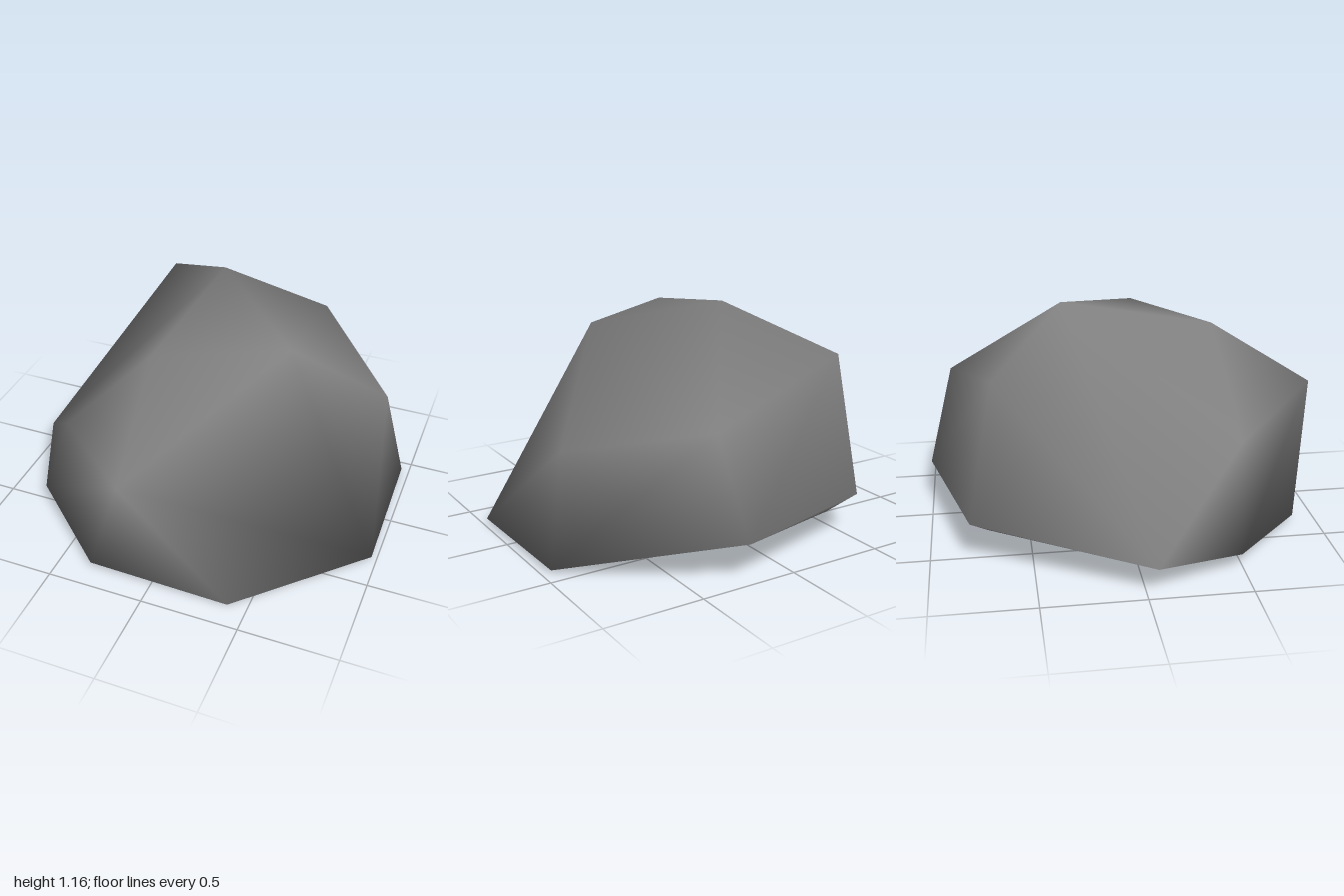
import * as THREE from 'three';
import { ConvexGeometry } from 'three/addons/geometries/ConvexGeometry.js';

// Corners of the boulder, from the foot to the peak
const corners = {
  footFront: [0.40, 0.00, 0.87], footLeftFront: [0.975, 0.02, 0.32],
  footLeftBack: [0.96, 0.02, -0.42], footMiddle: [-0.33, 0.03, 0.88],
  footRight: [-0.79, 0.08, 0.49], footTip: [-0.98, 0.14, 0.05],
  footBack: [-0.43, 0.11, -0.71], heelRight: [-0.55, 0.21, -0.80],
  heelLeft: [0.25, 0.20, -1.00], sideLeft: [0.85, 0.55, -0.33],
  sideRight: [-0.60, 0.58, 0.52], nose: [-0.09, 0.69, 1.00],
  back: [0.35, 0.70, -0.87], shoulder: [-0.50, 0.91, -0.67],
  topLeft: [0.44, 1.03, 0.13], topFront: [-0.15, 1.05, 0.45], peak: [-0.06, 1.16, -0.30],
};
const names = Object.keys(corners);
const points = Object.values(corners).map((p) => new THREE.Vector3(...p));

// Areas laid out again as fans: a hub corner followed by its rim
const regions = [
  // shallow dent below the peak
  [['peak', 'shoulder', 'footTip', 'sideRight', 'topFront']],
  // underside
  [
    ['footLeftFront', 'footFront', 'footMiddle', 'footRight', 'footBack', 'footLeftBack'],
    ['footRight', 'footTip', 'footBack'],
  ],
];

// Convex hull as triples of corner numbers
function hullFaces() {
  const { position } = new ConvexGeometry(points).attributes;
  const faces = [];
  const vertex = new THREE.Vector3();
  for (let i = 0; i < position.count; i++) {
    if (i % 3 === 0) faces.push([]);
    vertex.fromBufferAttribute(position, i);
    faces.at(-1).push(points.findIndex((p) => p.distanceTo(vertex) < 1e-4));
  }
  return faces;
}

// Replace the hull faces inside a region with its fans
function refan(faces, fans) {
  const inside = new Set(fans.flat().map((name) => names.indexOf(name)));
  const kept = faces.filter((face) => !face.every((i) => inside.has(i)));
  for (const fan of fans) {
    const [hub, ...rim] = fan.map((name) => names.indexOf(name));
    for (let k = 0; k + 1 < rim.length; k++) kept.push([hub, rim[k], rim[k + 1]]);
  }
  return kept;
}

export function createModel() {
  const stone = new THREE.MeshStandardMaterial({ color: 0x808080 });
  stone.name = 'stone grey';

  // Shared corners keep the shading smooth over every edge
  const surface = new THREE.BufferGeometry().setFromPoints(points);
  surface.setIndex(regions.reduce(refan, hullFaces()).flat());
  surface.computeVertexNormals();

  const boulder = new THREE.Mesh(surface, stone);
  boulder.name = 'boulder';

  const group = new THREE.Group();
  group.name = 'rock';
  group.add(boulder);
  return group;
}
